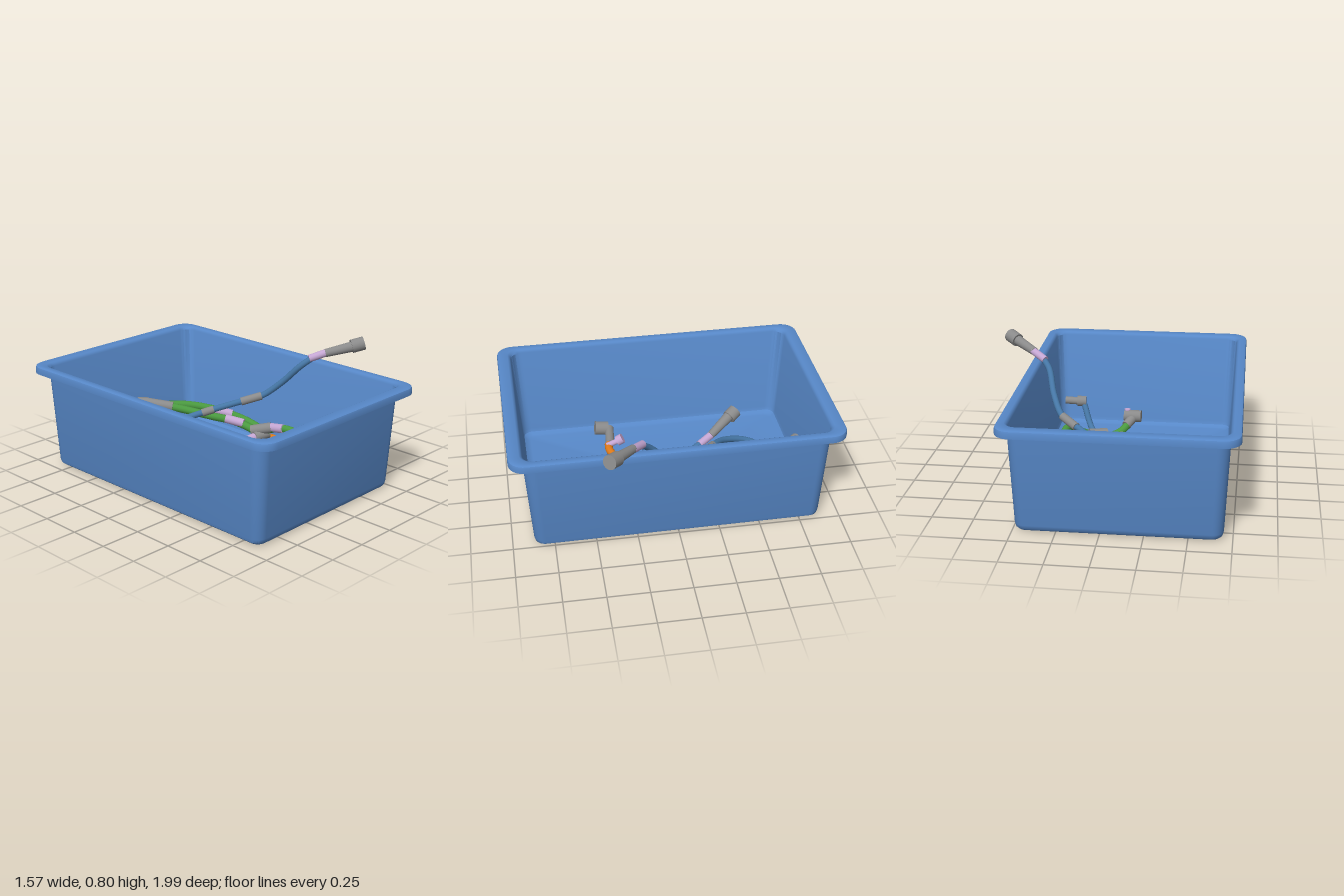
import * as THREE from 'three';
import { toCreasedNormals } from 'three/addons/utils/BufferGeometryUtils.js';

const mat = (name, color) => new THREE.MeshStandardMaterial({ name, color });

// Lofts rounded-rectangle rings [halfX, halfZ, cornerRadius, y] into one skin
function loftRings(rings, cornerSteps = 8) {
  const pos = [], index = [], n = 4 * (cornerSteps + 1);
  for (const [hx, hz, r, y] of rings) {
    for (let c = 0; c < 4; c++) {
      const sx = c === 0 || c === 3 ? 1 : -1, sz = c < 2 ? 1 : -1;
      for (let k = 0; k <= cornerSteps; k++) {
        const t = (c + k / cornerSteps) * Math.PI / 2;
        pos.push(sx * (hx - r) + r * Math.cos(t), y, sz * (hz - r) + r * Math.sin(t));
      }
    }
  }
  for (let i = 0; i < rings.length - 1; i++) {
    for (let j = 0; j < n; j++) {
      const a = i * n + j, b = i * n + (j + 1) % n;
      if (i > 0) index.push(a, a + n, b);
      if (i < rings.length - 2) index.push(b, a + n, b + n);
      else if (i === 0) index.push(a, a + n, b + n);
    }
  }
  // the first ring is a point, so its quads need only the outer triangle
  for (let j = 0; j < n; j++) index.push(j, j + n, (j + 1) % n + n);
  const g = new THREE.BufferGeometry();
  g.setAttribute('position', new THREE.Float32BufferAttribute(pos, 3));
  g.setIndex(index);
  return toCreasedNormals(g.toNonIndexed(), 0.6);
}

export function createModel() {
  const model = new THREE.Group();
  const tubBlue = mat('tub blue', 0x5788c8);
  const hoseBlue = mat('hose blue', 0x4677a6);
  const green = mat('hose green', 0x4b9a40);
  const orange = mat('hose orange', 0xe27c1a);
  const grey = mat('fitting grey', 0x8a8a8a);
  const pink = mat('sleeve pink', 0xc4a6d2);

  const add = (name, geometry, material) => {
    const m = new THREE.Mesh(geometry, material);
    m.name = name;
    model.add(m);
    return m;
  };
  const V = p => new THREE.Vector3(...p);

  // Smooth hose through points
  const hose = (name, material, r, pts) =>
    add(name, new THREE.TubeGeometry(new THREE.CatmullRomCurve3(pts.map(V)), 64, r, 12), material);

  // Cylinder from point a to point b
  const rod = (name, material, a, b, r1, r2 = r1) => {
    const A = V(a), B = V(b), d = B.clone().sub(A);
    const m = add(name, new THREE.CylinderGeometry(r2, r1, d.length(), 20), material);
    m.position.copy(A).add(B).multiplyScalar(0.5);
    m.quaternion.setFromUnitVectors(new THREE.Vector3(0, 1, 0), d.normalize());
  };

  // Tub: underside, outer wall, hollow lip, inner wall, floor
  const tub = add('tub', loftRings([
    [0, 0, 0, 0.005],
    [0.555, 0.835, 0.04, 0.005], [0.575, 0.857, 0.05, 0.01],
    [0.589, 0.868, 0.06, 0.022], [0.595, 0.874, 0.065, 0.045],
    [0.62, 0.911, 0.075, 0.64],
    [0.66, 0.978, 0.09, 0.64], [0.662, 0.98, 0.09, 0.615],
    [0.677, 0.992, 0.1, 0.615], [0.677, 0.992, 0.1, 0.645],
    [0.673, 0.988, 0.096, 0.656], [0.663, 0.978, 0.09, 0.661],
    [0.63, 0.925, 0.075, 0.661], [0.62, 0.914, 0.07, 0.655],
    [0.612, 0.905, 0.07, 0.64],
    [0.588, 0.868, 0.06, 0.06], [0.58, 0.86, 0.055, 0.038],
    [0.56, 0.84, 0.045, 0.024], [0.54, 0.82, 0.04, 0.02],
    [0, 0, 0, 0.02],
  ]), tubBlue);
  tub.position.x = -0.097;
  tub.rotation.y = 0.008;

  // Blue hose that reaches over the rim
  hose('reachingHose', hoseBlue, 0.02, [
    [-0.03, 0.12, -0.69], [-0.09, 0.15, -0.65], [-0.12, 0.2, -0.54], [-0.06, 0.26, -0.38],
    [0.07, 0.31, -0.27], [0.22, 0.36, -0.15], [0.34, 0.4, -0.05], [0.41, 0.5, 0.06],
    [0.46, 0.63, 0.18], [0.52, 0.69, 0.24]]);
  rod('reachingSleeve', pink, [0.49, 0.675, 0.215], [0.58, 0.71, 0.285], 0.024);
  rod('reachingHandle', grey, [0.57, 0.707, 0.28], [0.72, 0.75, 0.405], 0.026, 0.034);
  rod('reachingHead', grey, [0.7, 0.745, 0.385], [0.76, 0.765, 0.435], 0.043);
  rod('reachingCollar', grey, [0.04, 0.3, -0.29], [0.1, 0.32, -0.245], 0.025);
  rod('reachingCollar', grey, [0.24, 0.365, -0.135], [0.34, 0.4, -0.05], 0.026);
  rod('reachingEnd', grey, [-0.04, 0.12, -0.69], [0.07, 0.11, -0.63], 0.027);
  rod('reachingEndArm', grey, [0.06, 0.11, -0.64], [0.18, 0.14, -0.77], 0.027);
  rod('reachingEndHead', grey, [0.11, 0.15, -0.85], [0.16, 0.14, -0.79], 0.045);

  // Long straight blue hose across the floor
  hose('longHose', hoseBlue, 0.02, [
    [-0.29, 0.1, -0.3], [-0.2, 0.07, -0.15], [-0.02, 0.05, 0.13], [0.16, 0.05, 0.43],
    [0.25, 0.09, 0.57], [0.31, 0.22, 0.66]]);
  rod('longSleeve', pink, [-0.33, 0.12, -0.36], [-0.27, 0.09, -0.265], 0.025);
  rod('longHandle', grey, [-0.42, 0.19, -0.49], [-0.32, 0.12, -0.35], 0.035, 0.026);
  rod('longHead', grey, [-0.45, 0.21, -0.54], [-0.415, 0.185, -0.49], 0.045);
  rod('longCollar', grey, [-0.06, 0.055, 0.07], [0.0, 0.055, 0.16], 0.027);
  rod('longEnd', grey, [0.3, 0.24, 0.675], [0.36, 0.24, 0.67], 0.035);
  rod('longEndTip', grey, [0.35, 0.24, 0.67], [0.44, 0.24, 0.68], 0.025);

  // Green hose arching to the front
  hose('archHose', green, 0.026, [
    [0.0, 0.11, 0.64], [0.05, 0.07, 0.57], [0.15, 0.06, 0.48], [0.28, 0.13, 0.38],
    [0.35, 0.21, 0.25], [0.36, 0.21, 0.1], [0.33, 0.17, -0.03]]);
  rod('archSleeve', pink, [0.355, 0.215, 0.13], [0.35, 0.2, 0.03], 0.029);
  rod('archTop', grey, [0.35, 0.2, 0.03], [0.28, 0.17, -0.08], 0.034);
  rod('archCollar', grey, [0.02, 0.095, 0.62], [-0.02, 0.13, 0.68], 0.032);
  rod('archHead', grey, [-0.075, 0.14, 0.69], [0.04, 0.14, 0.695], 0.04);
  rod('archCap', pink, [0.02, 0.1, 0.7], [0.02, 0.185, 0.7], 0.02);

  // Two green hoses running side by side from the back
  hose('outerHose', green, 0.026, [
    [0.11, 0.24, -0.68], [0.22, 0.23, -0.6], [0.36, 0.19, -0.45], [0.46, 0.13, -0.28],
    [0.44, 0.09, -0.1], [0.32, 0.07, -0.02], [0.17, 0.07, 0.06], [0.11, 0.08, 0.18],
    [0.17, 0.1, 0.32]]);
  rod('outerSleeve', pink, [0.345, 0.195, -0.47], [0.41, 0.17, -0.38], 0.029);
  hose('innerHose', green, 0.026, [
    [0.07, 0.24, -0.73], [0.15, 0.22, -0.6], [0.27, 0.18, -0.43], [0.36, 0.15, -0.32],
    [0.39, 0.12, -0.17], [0.33, 0.1, 0.0], [0.26, 0.1, 0.12], [0.26, 0.12, 0.25]]);
  rod('innerSleeve', pink, [0.33, 0.165, -0.36], [0.385, 0.145, -0.25], 0.029);
  rod('innerCollar', grey, [0.12, 0.23, -0.65], [0.02, 0.25, -0.79], 0.033);
  rod('innerHead', grey, [-0.02, 0.25, -0.845], [0.03, 0.25, -0.79], 0.033);
  for (const [x, z] of [[0.17, 0.32], [0.26, 0.25]]) {
    rod('hoseCollar', grey, [x, 0.1, z - 0.04], [x, 0.12, z + 0.02], 0.031);
    rod('hoseElbow', grey, [x - 0.05, 0.12, z + 0.06], [x + 0.06, 0.13, z + 0.01], 0.042);
  }
  rod('elbowArm', grey, [0.22, 0.11, 0.34], [0.08, 0.09, 0.4], 0.027);
  rod('elbowTip', grey, [0.09, 0.09, 0.4], [0.02, 0.09, 0.43], 0.033);

  // Short green hose
  hose('shortHose', green, 0.025, [
    [0.19, 0.1, -0.37], [0.2, 0.09, -0.28], [0.27, 0.08, -0.16], [0.35, 0.07, -0.07],
    [0.39, 0.06, 0.0]]);
  rod('shortCollar', grey, [0.195, 0.1, -0.34], [0.185, 0.11, -0.41], 0.032);
  rod('shortHead', grey, [0.185, 0.11, -0.4], [0.18, 0.11, -0.45], 0.037);

  // Orange hose from the back to the centre fitting
  hose('centreHose', orange, 0.026, [
    [0.08, 0.13, -0.65], [0.04, 0.13, -0.5], [0.02, 0.12, -0.28], [0.03, 0.11, -0.13],
    [0.1, 0.11, -0.07], [0.2, 0.13, -0.05]]);
  rod('centreSleeve', pink, [0.16, 0.125, -0.055], [0.26, 0.14, -0.035], 0.028);
  rod('centreFitting', grey, [0.26, 0.14, -0.035], [0.36, 0.15, -0.01], 0.035);
  hose('sideHose', orange, 0.025, [
    [0.36, 0.12, -0.03], [0.41, 0.1, 0.03], [0.44, 0.09, 0.1], [0.44, 0.08, 0.18]]);
  rod('sideFitting', grey, [0.41, 0.08, 0.21], [0.49, 0.08, 0.22], 0.033);

  // Orange hose lying toward the front left
  hose('floorHose', orange, 0.026, [
    [-0.41, 0.06, 0.32], [-0.34, 0.06, 0.32], [-0.24, 0.06, 0.28], [-0.1, 0.06, 0.19],
    [0.04, 0.06, 0.12], [0.1, 0.06, 0.02], [0.06, 0.06, -0.1], [-0.02, 0.07, -0.2],
    [-0.04, 0.08, -0.32], [-0.02, 0.08, -0.4]]);
  rod('floorGrip', grey, [-0.21, 0.075, 0.24], [-0.09, 0.075, 0.16], 0.047);
  rod('floorGripTip', grey, [-0.24, 0.07, 0.255], [-0.2, 0.075, 0.235], 0.027);
  rod('floorGripNeck', grey, [-0.09, 0.075, 0.16], [-0.03, 0.07, 0.125], 0.03);
  rod('floorCollar', grey, [-0.41, 0.06, 0.31], [-0.58, 0.07, 0.295], 0.029);
  rod('floorHead', grey, [-0.585, 0.07, 0.305], [-0.585, 0.08, 0.39], 0.045);
  rod('floorSleeve', pink, [-0.385, 0.07, 0.33], [-0.375, 0.11, 0.25], 0.018);
  rod('floorCap', pink, [-0.375, 0.105, 0.265], [-0.373, 0.125, 0.23], 0.033);
  rod('floorBackCollar', grey, [-0.03, 0.08, -0.34], [-0.01, 0.08, -0.43], 0.03);

  // Loose fittings near the middle
  rod('looseSleeve', pink, [-0.09, 0.13, -0.25], [0.02, 0.13, -0.245], 0.027);
  rod('looseFitting', grey, [0.05, 0.13, -0.26], [0.04, 0.13, -0.18], 0.033);
  rod('looseSleeveTail', pink, [0.04, 0.1, -0.18], [0.07, 0.08, -0.09], 0.022);
  rod('looseRod', grey, [0.06, 0.08, -0.53], [0.11, 0.08, -0.43], 0.032);

  return model;
}
